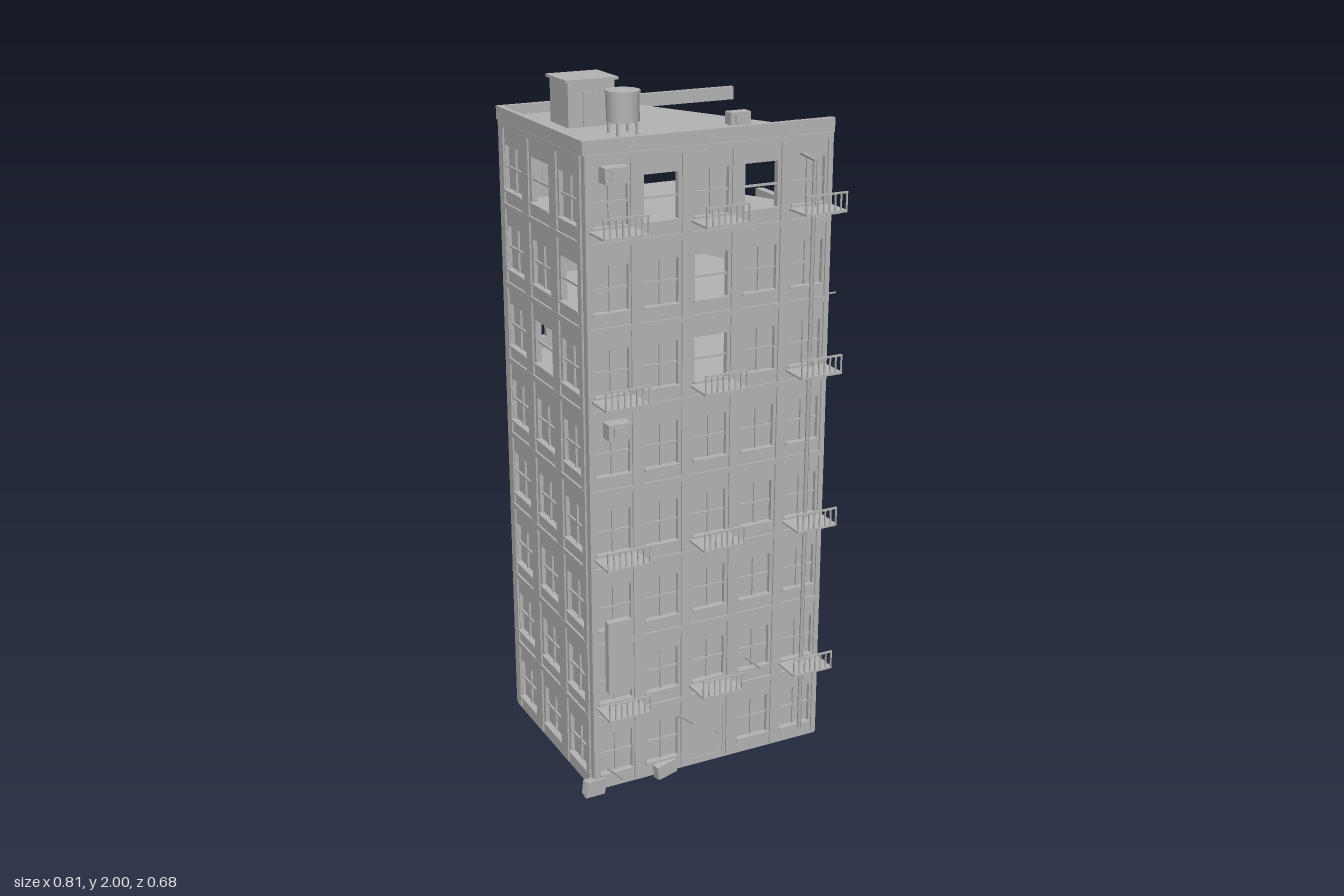
import * as THREE from 'three';

const concrete = new THREE.MeshStandardMaterial({ color: 0xb4b4b4 });
concrete.name = 'concrete grey';

const BASE = 0.02, FLOOR = 0.23, FLOORS = 8, TOP = BASE + FLOOR * FLOORS;

function add(parent, name, geometry, x = 0, y = 0, z = 0) {
  const mesh = new THREE.Mesh(geometry, concrete);
  mesh.name = name;
  mesh.position.set(x, y, z);
  parent.add(mesh);
  return mesh;
}
const box = (parent, name, w, h, d, x, y, z) => add(parent, name, new THREE.BoxGeometry(w, h, d), x, y, z);

function group(parent, name) {
  const g = new THREE.Group();
  g.name = name;
  parent.add(g);
  return g;
}

// Round bar between two points
function rod(parent, name, a, b, r) {
  const path = new THREE.LineCurve3(new THREE.Vector3(...a), new THREE.Vector3(...b));
  return add(parent, name, new THREE.TubeGeometry(path, 1, r, 6), 0, 0, 0);
}

// Wall panel of one bay with a window opening (outer face at local z = 0)
function wallPanel(parent, u0, u1, y, hole) {
  const pts = [[u0, y], [u1, y], [u1, y + FLOOR], [u0, y + FLOOR]];
  const shape = new THREE.Shape(pts.map(p => new THREE.Vector2(...p)));
  shape.holes.push(new THREE.Path(hole.map(p => new THREE.Vector2(...p))));
  const geo = new THREE.ExtrudeGeometry(shape, { depth: 0.018, bevelEnabled: false });
  add(parent, 'wallPanel', geo, 0, 0, -0.018);
}

function windowParts(parent, c, w, y, open) {
  const y0 = y + 0.04, h = 0.126, mid = y0 + h / 2;
  if (!open) {
    box(parent, 'windowPane', w, h, 0.004, c, mid, -0.014);
    box(parent, 'windowMullion', 0.006, h, 0.006, c, mid, -0.009);
  }
  box(parent, 'windowRail', w, 0.006, 0.006, c, mid, -0.008);
  box(parent, 'windowSill', w + 0.008, 0.006, 0.01, c, y0 - 0.003, 0.002);
}

// One facade: bays per floor, with pilasters and floor bands
function facade(parent, side) {
  const g = group(parent, side.name);
  g.position.set(...side.pos);
  g.rotation.y = side.turn;
  const e = side.edges, n = e.length - 1;
  for (let f = 0; f < FLOORS; f++) {
    const y = BASE + f * FLOOR;
    for (let b = 0; b < n; b++) {
      if (side.missing(f, b)) continue;
      const key = `${f},${b}`, c = side.centers[b], w = side.win;
      const y0 = y + 0.04, y1 = y0 + 0.126, l = c - w / 2, r = c + w / 2;
      let hole = [[l, y0], [l, y1], [r, y1], [r, y0]];
      const broken = side.broken === key;
      if (broken) hole = [[l - 0.005, y0], [l - 0.005, y1 + 0.03], [r + 0.015, y1 + 0.05], [r + 0.015, y - 0 + 0.02], [c, y + 0.015]];
      if (side.door === key) hole = [[l, y + 0.012], [l, y1], [r, y1], [r, y + 0.012]];
      wallPanel(g, e[b], e[b + 1], y, hole);
      if (side.door === key) {
        box(g, 'frontDoor', w, 0.154, 0.006, c, y + 0.089, -0.006);
        box(g, 'doorHandle', 0.006, 0.012, 0.006, c + 0.035, y + 0.08, 0);
      } else if (!broken) windowParts(g, c, w, y, side.open.includes(key));
      // Band over the bay
      box(g, 'floorBand', e[b + 1] - e[b], 0.016, 0.008, (e[b] + e[b + 1]) / 2, y + FLOOR - 0.008, 0.002);
      // Pilasters at both edges of the bay
      const half = side.pilaster / 2;
      box(g, 'pilaster', half, FLOOR - 0.016, 0.006, e[b] + half / 2, y + FLOOR / 2 - 0.008, 0.002);
      box(g, 'pilaster', half, FLOOR - 0.016, 0.006, e[b + 1] - half / 2, y + FLOOR / 2 - 0.008, 0.002);
    }
  }
}

// Horizontal slab from [x, z] outline points
function slab(parent, name, outline, y, t) {
  const geo = new THREE.ExtrudeGeometry(new THREE.Shape(outline.map(([x, z]) => new THREE.Vector2(x, -z))),
    { depth: t, bevelEnabled: false });
  geo.rotateX(-Math.PI / 2);
  add(parent, name, geo, 0, y, 0);
}

function balcony(parent, x, y) {
  const g = group(parent, 'balcony');
  box(g, 'balconyFloor', 0.13, 0.006, 0.094, x, y, 0.292);
  box(g, 'balconyTopRail', 0.13, 0.005, 0.005, x, y + 0.052, 0.3365);
  for (let i = 0; i < 8; i++) {
    box(g, 'baluster', 0.004, 0.05, 0.004, x - 0.063 + i * 0.018, y + 0.027, 0.3365);
  }
}

function airConditioner(parent, x, y, z, w, h, d) {
  const g = group(parent, 'airConditioner');
  box(g, 'unitCase', w, h, d, x, y, z);
  box(g, 'unitGrille', w * 0.55, h * 0.6, 0.004, x, y, z + d / 2 + 0.002);
}

export function createModel() {
  const model = new THREE.Group();
  model.name = 'damagedApartmentBlock';

  // Four facades; upper floors are broken away at the back left corner
  const wide = [-0.37, -0.225, -0.075, 0.075, 0.225, 0.37], wideC = [-0.297, -0.15, 0, 0.15, 0.297];
  const deep = [-0.272, -0.095, 0.095, 0.272], deepC = [-0.188, 0, 0.188];
  const none = () => false;
  [
    { name: 'frontFacade', pos: [0, 0, 0.245], turn: 0, edges: wide, centers: wideC, win: 0.1, pilaster: 0.03,
      missing: none, open: ['5,2', '6,2', '7,3', '7,1'], door: '0,2' },
    { name: 'backFacade', pos: [0, 0, -0.335], turn: Math.PI, edges: wide, centers: wideC, win: 0.1, pilaster: 0.03,
      missing: (f, b) => (f === 6 && b < 1) || (f === 7 && b < 2), open: ['5,2', '5,3', '5,4', '6,2'], broken: '6,4' },
    { name: 'leftFacade', pos: [0.37, 0, -0.045], turn: Math.PI / 2, edges: deep, centers: deepC, win: 0.118, pilaster: 0.045,
      missing: (f, b) => (f === 6 && b > 1) || (f === 7 && b > 0), open: ['6,0', '6,1', '5,0'] },
    { name: 'rightFacade', pos: [-0.37, 0, -0.045], turn: -Math.PI / 2, edges: deep, centers: deepC, win: 0.118, pilaster: 0.045,
      missing: none, open: ['7,1', '6,2', '5,1'] },
  ].forEach(s => facade(model, s));

  // Floor slabs, the upper ones cut off diagonally
  const X = 0.354, F = 0.228, B = -0.318;
  const full = [[-X, B], [X, B], [X, F], [-X, F]];
  for (let f = 1; f < 6; f++) slab(model, 'floorSlab', full, BASE + f * FLOOR - 0.006, 0.012);
  slab(model, 'groundSlab', [[-0.37, -0.335], [0.37, -0.335], [0.37, 0.245], [-0.37, 0.245]], 0.012, 0.01);
  slab(model, 'brokenSlab', [[-X, B], [0.27, B], [X, -0.14], [X, F], [-X, F]], BASE + 6 * FLOOR - 0.012, 0.012);
  slab(model, 'brokenSlab', [[-X, B], [0.165, B], [X, 0.07], [X, F], [-X, F]], BASE + 7 * FLOOR - 0.012, 0.012);
  slab(model, 'roof', [[-0.366, -0.33], [0.05, -0.33], [0.33, 0.232], [0.366, 0.232], [0.366, 0.24], [-0.366, 0.24]], TOP - 0.002, 0.012);

  // Parapet; the back length hangs past the broken roof
  box(model, 'frontParapet', 0.75, 0.038, 0.016, 0, TOP + 0.019, 0.239);
  box(model, 'backParapet', 0.75, 0.038, 0.016, 0, TOP + 0.019, -0.331);
  box(model, 'rightParapet', 0.016, 0.038, 0.554, -0.367, TOP + 0.019, -0.046);

  // Stair house on the roof
  box(model, 'stairHouse', 0.138, 0.125, 0.122, -0.205, 1.93, -0.127);
  box(model, 'stairHouseCap', 0.156, 0.008, 0.138, -0.205, 1.996, -0.127);
  box(model, 'stairHouseDoor', 0.05, 0.095, 0.005, -0.205, 1.918, -0.065);

  // Water tank on legs
  const tank = group(model, 'waterTank');
  add(tank, 'tankBody', new THREE.CylinderGeometry(0.045, 0.045, 0.075, 12), -0.175, 1.942, 0.068);
  add(tank, 'tankLid', new THREE.CylinderGeometry(0.048, 0.048, 0.008, 12), -0.175, 1.983, 0.068);
  for (const sx of [-1, 1]) for (const sz of [-1, 1]) {
    box(tank, 'tankLeg', 0.007, 0.04, 0.007, -0.175 + sx * 0.028, 1.887, 0.068 + sz * 0.028);
  }

  // Cooling units
  airConditioner(model, 0.167, 1.887, 0.08, 0.062, 0.036, 0.036);
  airConditioner(model, -0.295, 1.81, 0.268, 0.07, 0.042, 0.04);
  airConditioner(model, -0.295, 1.117, 0.268, 0.066, 0.045, 0.04);

  // Balconies on every second floor
  for (const y of [0.28, 0.74, 1.2, 1.66]) for (const x of [-0.295, 0, 0.3]) balcony(model, x, y);

  // Blank sign board on brackets
  box(model, 'signBoard', 0.072, 0.22, 0.022, -0.305, 0.452, 0.284);
  for (const y of [0.38, 0.52]) box(model, 'signBracket', 0.008, 0.008, 0.03, -0.305, y, 0.259);

  // Drain pipe, cut cables and loose bars
  rod(model, 'drainPipe', [0.31, 0.05, 0.254], [0.31, 1.79, 0.254], 0.006);
  rod(model, 'drainPipeElbow', [0.31, 1.79, 0.254], [0.262, 1.815, 0.254], 0.006);
  [1.165, 1.4, 1.63].forEach((y, i) => rod(model, 'cutCable', [0.36, y, 0.22 + i * 0.01], [0.405, y, 0.22 + i * 0.01], 0.0025));
  rod(model, 'looseBar', [-0.1, 0.195, 0.252], [-0.05, 0.155, 0.252], 0.004);
  rod(model, 'looseBar', [-0.33, 0.08, 0.25], [-0.28, 0.03, 0.25], 0.004);
  rod(model, 'looseBar', [0.12, 0.33, 0.25], [0.175, 0.28, 0.25], 0.004);

  // Rubble at the foot of the front
  const rubble = [[-0.37, 0.03, 0.247, 0.12, 0.2], [-0.145, 0.03, 0.252, -0.12, 0.17]];
  for (const [x, y, z, rz, ry] of rubble) {
    box(model, 'rubble', 0.066, 0.042, 0.025, x, y, z).rotation.set(0, ry, -rz);
  }
  // Short footing down to the ground
  box(model, 'footing', 0.06, 0.012, 0.02, -0.37, 0.006, 0.245);
  return model;
}
